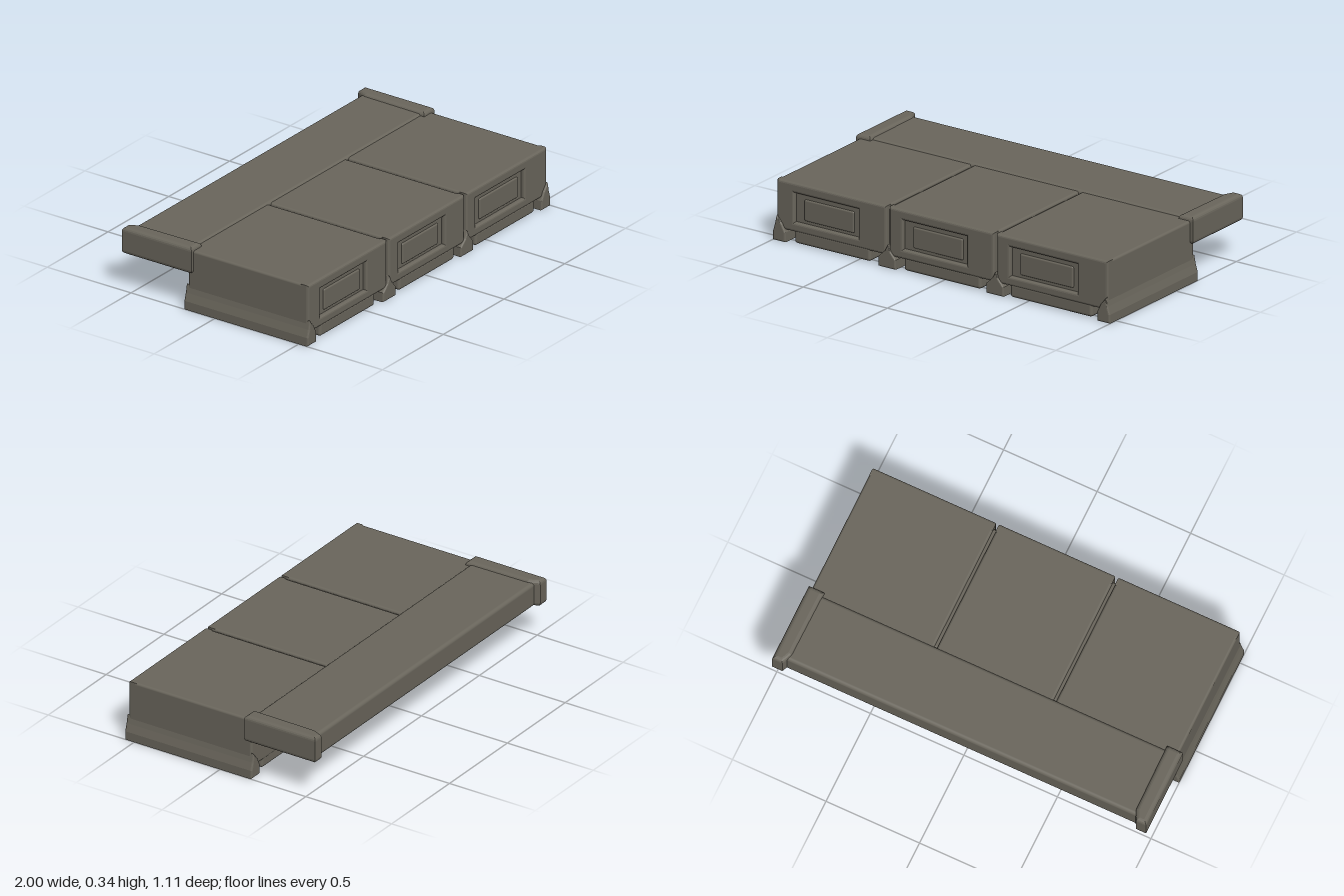
import * as THREE from 'three';
import { RoundedBoxGeometry } from 'three/addons/geometries/RoundedBoxGeometry.js';

export function createModel() {
  const model = new THREE.Group();
  const stone = new THREE.MeshStandardMaterial({ color: 0x6a665c });
  stone.name = 'warm grey';

  function add(parent, name, geometry) {
    const mesh = new THREE.Mesh(geometry, stone);
    mesh.name = name;
    parent.add(mesh);
    return mesh;
  }

  // Rounded box given by its limits on each axis
  function block(parent, name, x, y, z, radius) {
    const g = new RoundedBoxGeometry(x[1] - x[0], y[1] - y[0], z[1] - z[0], 3, radius);
    g.translate((x[0] + x[1]) / 2, (y[0] + y[1]) / 2, (z[0] + z[1]) / 2);
    return add(parent, name, g);
  }

  // Shape extruded along z between two limits, with rounded ends
  function extrudeZ(parent, name, shape, z0, z1, bevel) {
    const g = new THREE.ExtrudeGeometry(shape, {
      depth: z1 - z0 - 2 * bevel, bevelEnabled: true, bevelThickness: bevel,
      bevelSize: bevel, bevelOffset: -bevel, bevelSegments: 3,
    });
    g.translate(0, 0, z0 + bevel);
    return add(parent, name, g);
  }

  const polygon = (points) => new THREE.Shape(points.map(([x, y]) => new THREE.Vector2(x, y)));
  const rectangle = (x0, x1, y0, y1) => [[x0, y0], [x1, y0], [x1, y1], [x0, y1]];

  // Core closes the seams between the sections
  block(model, 'core', [-0.96, 0.96], [0.06, 0.3], [-0.158, 0.515], 0.01);

  // Three sections, each with a recessed front panel and two pads below
  const sections = [
    { x: [-0.982, -0.332], pad: [-0.88, -0.43], recess: [-0.88, -0.5] },
    { x: [-0.317, 0.306], pad: [-0.23, 0.225], recess: [-0.235, 0.145] },
    { x: [0.321, 0.982], pad: [0.4, 0.885], recess: [0.4, 0.8] },
  ];
  for (const s of sections) {
    const section = new THREE.Group();
    section.name = 'section';
    model.add(section);
    block(section, 'sectionBody', s.x, [0.052, 0.314], [-0.172, 0.522], 0.012);

    const frame = polygon(rectangle(s.x[0], s.x[1], 0.062, 0.314));
    frame.holes.push(new THREE.Path(
      rectangle(s.recess[0], s.recess[1], 0.11, 0.262).reverse().map(([x, y]) => new THREE.Vector2(x, y))));
    extrudeZ(section, 'frontFrame', frame, 0.495, 0.544, 0.012);
    block(section, 'recessPanel', [s.recess[0] + 0.05, s.recess[1] - 0.035], [0.125, 0.235], [0.5, 0.53], 0.008);

    block(section, 'frontPad', s.pad, [0.004, 0.075], [0.3, 0.542], 0.015);
    block(section, 'backPad', s.pad, [0.004, 0.075], [-0.168, 0.09], 0.015);
    block(section, 'channelRib', [s.pad[0] + 0.02, s.pad[1] - 0.02], [0.038, 0.075], [0.165, 0.225], 0.008);
  }

  // Inner feet under the seams, spreading from the gap to a wide base
  for (const side of [-1, 1]) {
    const c = side * 0.32;
    extrudeZ(model, 'innerFoot', polygon([
      [c - 0.055, 0], [c + 0.048, 0], [c + 0.048, 0.05], [c + 0.018, 0.085],
      [c, 0.12], [c - 0.018, 0.085], [c - 0.055, 0.05],
    ]), -0.183, 0.553, 0.008);
  }

  // Outer feet flare out from the end faces
  for (const side of [-1, 1]) {
    const points = [[0.925, 0], [1, 0], [1, 0.045], [0.988, 0.085], [0.978, 0.13], [0.945, 0.09], [0.925, 0.05]]
      .map(([x, y]) => [x * side, y]);
    if (side < 0) points.reverse();
    extrudeZ(model, side > 0 ? 'leftFoot' : 'rightFoot', polygon(points), -0.185, 0.555, 0.009);
  }

  // Overhanging ledge at the back with thicker end caps
  block(model, 'backLedge', [-0.97, 0.97], [0.195, 0.322], [-0.528, -0.16], 0.018);
  for (const side of [-1, 1]) {
    const outline = [[0.915, 0.14], [1, 0.14], [1, 0.555], [0.945, 0.555], [0.933, 0.53], [0.92, 0.5]]
      .map(([x, z]) => [x * side, z]);
    if (side < 0) outline.reverse();
    const cap = new THREE.ExtrudeGeometry(polygon(outline), {
      depth: 0.101, bevelEnabled: true, bevelThickness: 0.02, bevelSize: 0.02,
      bevelOffset: -0.02, bevelSegments: 4,
    });
    // Lay the outline flat so that its depth points to the back
    cap.rotateX(-Math.PI / 2);
    cap.translate(0, 0.214, 0);
    add(model, side > 0 ? 'leftEndCap' : 'rightEndCap', cap);
  }
  return model;
}
